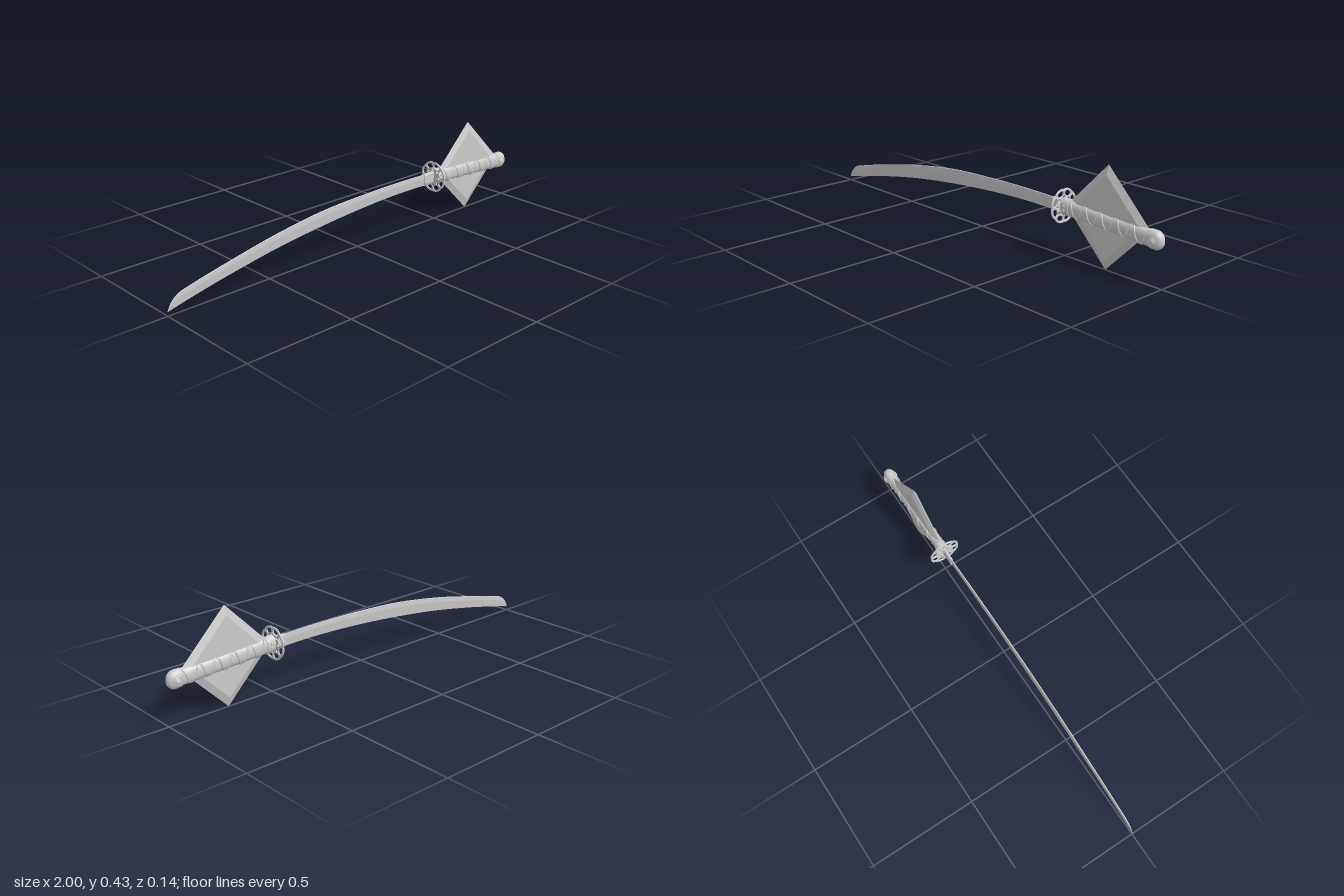
import * as THREE from 'three';

const smooth = new THREE.MeshStandardMaterial({ color: 0xcccccc });
const faceted = new THREE.MeshStandardMaterial({ color: 0xcccccc, flatShading: true });

function add(parent, name, geometry, material = smooth, x = 0, y = 0, z = 0) {
  const mesh = new THREE.Mesh(geometry, material);
  mesh.name = name;
  mesh.position.set(x, y, z);
  parent.add(mesh);
  return mesh;
}

// Skin closed rings (each running from +y towards +z) along +x and cap both ends
function loft(rings) {
  const n = rings[0].length, pos = [], idx = [];
  for (const ring of rings) for (const p of ring) pos.push(p.x, p.y, p.z);
  for (let i = 0; i < rings.length - 1; i++) {
    for (let j = 0; j < n; j++) {
      const a = i * n + j, b = i * n + (j + 1) % n;
      idx.push(a, b, a + n, b, b + n, a + n);
    }
  }
  [0, rings.length - 1].forEach((r, end) => {
    const c = new THREE.Vector3();
    rings[r].forEach(p => c.addScaledVector(p, 1 / n));
    const ci = pos.length / 3;
    pos.push(c.x, c.y, c.z);
    for (let j = 0; j < n; j++) {
      const a = r * n + j, b = r * n + (j + 1) % n;
      if (end) idx.push(ci, a, b); else idx.push(ci, b, a);
    }
  });
  const g = new THREE.BufferGeometry();
  g.setAttribute('position', new THREE.Float32BufferAttribute(pos, 3));
  g.setIndex(idx);
  g.computeVertexNormals();
  return g;
}

// Grip axis drops gently towards the pommel
const gripY = x => 0.215 - (x - 0.49) * 0.048;

// Rounded oval point around the grip axis
function ovalPoint(x, hy, hz, a) {
  const round = v => Math.sign(v) * Math.pow(Math.abs(v), 0.88);
  return new THREE.Vector3(x, gripY(x) + hy * round(Math.cos(a)), hz * round(Math.sin(a)));
}

function ovalLoft(sections, n = 32) {
  return loft(sections.map(([x, hy, hz]) =>
    Array.from({ length: n }, (_, j) => ovalPoint(x, hy, hz, j / n * Math.PI * 2))));
}

// Curved single-edged blade, columns are x, spine y, edge y
function bladeGeometry() {
  const outline = [
    [-1, 0.023, 0.02], [-0.985, 0.052, 0.024], [-0.96, 0.076, 0.03], [-0.93, 0.091, 0.037],
    [-0.89, 0.101, 0.046], [-0.82, 0.118, 0.061], [-0.7, 0.144, 0.085], [-0.47, 0.19, 0.125],
    [-0.2, 0.227, 0.158], [0.06, 0.24, 0.179], [0.28, 0.243, 0.187], [0.49, 0.239, 0.184]
  ];
  const curve = k => new THREE.SplineCurve(outline.map(p => new THREE.Vector2(p[0], p[k])));
  const spine = curve(1), edge = curve(2), rings = [];
  for (let i = 0; i <= 66; i++) {
    const s = spine.getPoint(i / 66), e = edge.getPoint(i / 66);
    const h = s.y - e.y, t = Math.min(0.004, h * 0.06 + 0.0005);
    const at = (f, z) => new THREE.Vector3(s.x, e.y + h * f, z);
    rings.push([at(1, 0), at(0.97, t * 0.7), at(0.65, t), at(0, 0), at(0.65, -t), at(0.97, -t * 0.7)]);
  }
  return loft(rings);
}

// Openwork guard with eight petals
function guardGeometry() {
  const polar = (r, a) => new THREE.Vector2(r * Math.cos(a), r * Math.sin(a));
  const outer = [];
  for (let i = 0; i < 128; i++) {
    const a = i / 128 * Math.PI * 2;
    outer.push(polar(0.0685 + 0.0045 * Math.sqrt(Math.abs(Math.sin(4 * a))), a));
  }
  const shape = new THREE.Shape(outer);
  for (let k = 0; k < 8; k++) {
    const mid = (k + 0.5) * Math.PI / 4, petal = [];
    for (let i = 0; i < 24; i++) {
      const t = i / 24 * Math.PI * 2, c = Math.cos(t), s = Math.sin(t);
      const sq = v => Math.sign(v) * Math.pow(Math.abs(v), 0.7);
      petal.push(polar(0.0545 + 0.0115 * sq(s), mid + 0.32 * sq(c)));
    }
    shape.holes.push(new THREE.Path(petal));
    const small = polar(0.0385, k * Math.PI / 4);
    shape.holes.push(new THREE.Path().absarc(small.x, small.y, 0.0065, 0, Math.PI * 2, true));
  }
  const g = new THREE.ExtrudeGeometry(shape, {
    depth: 0.004, bevelEnabled: true, bevelSize: 0.0012, bevelThickness: 0.0015,
    bevelSegments: 1, curveSegments: 12
  });
  g.translate(0, 0, -0.002);
  return g.rotateY(Math.PI / 2);
}

// Cord spiralling over the grip
function cordGeometry(direction, phase) {
  const pts = [], turns = 5;
  for (let i = 0; i <= 160; i++) {
    const t = i / 160;
    pts.push(ovalPoint(0.535 + 0.405 * t, 0.034, 0.0225, phase + direction * t * turns * Math.PI * 2));
  }
  return new THREE.TubeGeometry(new THREE.CatmullRomCurve3(pts), 220, 0.0042, 6);
}

export function createModel() {
  const model = new THREE.Group();
  model.name = 'curvedSword';

  add(model, 'blade', bladeGeometry(), faceted);

  // Blade collar in front of the guard
  const collar = [[0.425, 0.241, 0.184], [0.49, 0.245, 0.181]].map(([x, t, b]) =>
    [[t, 0.003], [t - 0.008, 0.007], [b + 0.012, 0.007], [b, 0.002],
      [b, -0.002], [b + 0.012, -0.007], [t - 0.008, -0.007], [t, -0.003]]
      .map(([y, z]) => new THREE.Vector3(x, y, z)));
  add(model, 'bladeCollar', loft(collar), faceted);

  add(model, 'guard', guardGeometry(), faceted, 0.488, 0.215, 0);

  // Handle: ferrule, grip, cords and rounded pommel
  const handle = new THREE.Group();
  handle.name = 'handle';
  model.add(handle);
  add(handle, 'ferrule', ovalLoft([
    [0.49, 0.034, 0.023], [0.492, 0.037, 0.026], [0.53, 0.037, 0.026], [0.534, 0.034, 0.023]]));
  add(handle, 'grip', ovalLoft([[0.53, 0.034, 0.0235], [0.73, 0.034, 0.0225], [0.95, 0.035, 0.0235]]));
  for (const direction of [1, -1]) {
    add(handle, 'gripCord', cordGeometry(direction, 0));
  }
  const pommel = [[0.936, 0.035, 0.023], [0.939, 0.038, 0.026], [0.965, 0.039, 0.0265]];
  for (let i = 1; i <= 8; i++) {
    const a = i / 8 * Math.PI / 2, c = Math.max(Math.cos(a), 0.02);
    pommel.push([0.965 + 0.035 * Math.sin(a), 0.039 * c, 0.0265 * c]);
  }
  add(handle, 'pommel', ovalLoft(pommel));

  // Matching fittings on both faces
  for (const side of [1, -1]) {
    const boss = add(handle, 'pommelBoss', new THREE.SphereGeometry(0.014, 16, 10), smooth, 0.962, 0.189, side * 0.025);
    boss.scale.set(1, 1, 0.6);
    add(handle, 'pommelRing', new THREE.TorusGeometry(0.015, 0.0035, 8, 20), smooth, 0.962, 0.189, side * 0.0255);
    for (const y of [0.205, 0.224]) {
      add(handle, 'ferruleStud', new THREE.SphereGeometry(0.005, 10, 8), smooth, 0.512, y, side * 0.0255);
    }
  }

  // Bevelled square plate standing on its corner through the grip
  const plate = new THREE.LatheGeometry(
    [[0, -0.012], [0.174, -0.012], [0.217, 0], [0.174, 0.012], [0, 0.012]]
      .map(p => new THREE.Vector2(...p)), 4).rotateX(Math.PI / 2);
  add(model, 'diamondPlate', plate, faceted, 0.72, 0.2195, 0);

  model.position.y = -0.0025;
  const root = new THREE.Group();
  root.name = 'sword';
  root.add(model);
  return root;
}
